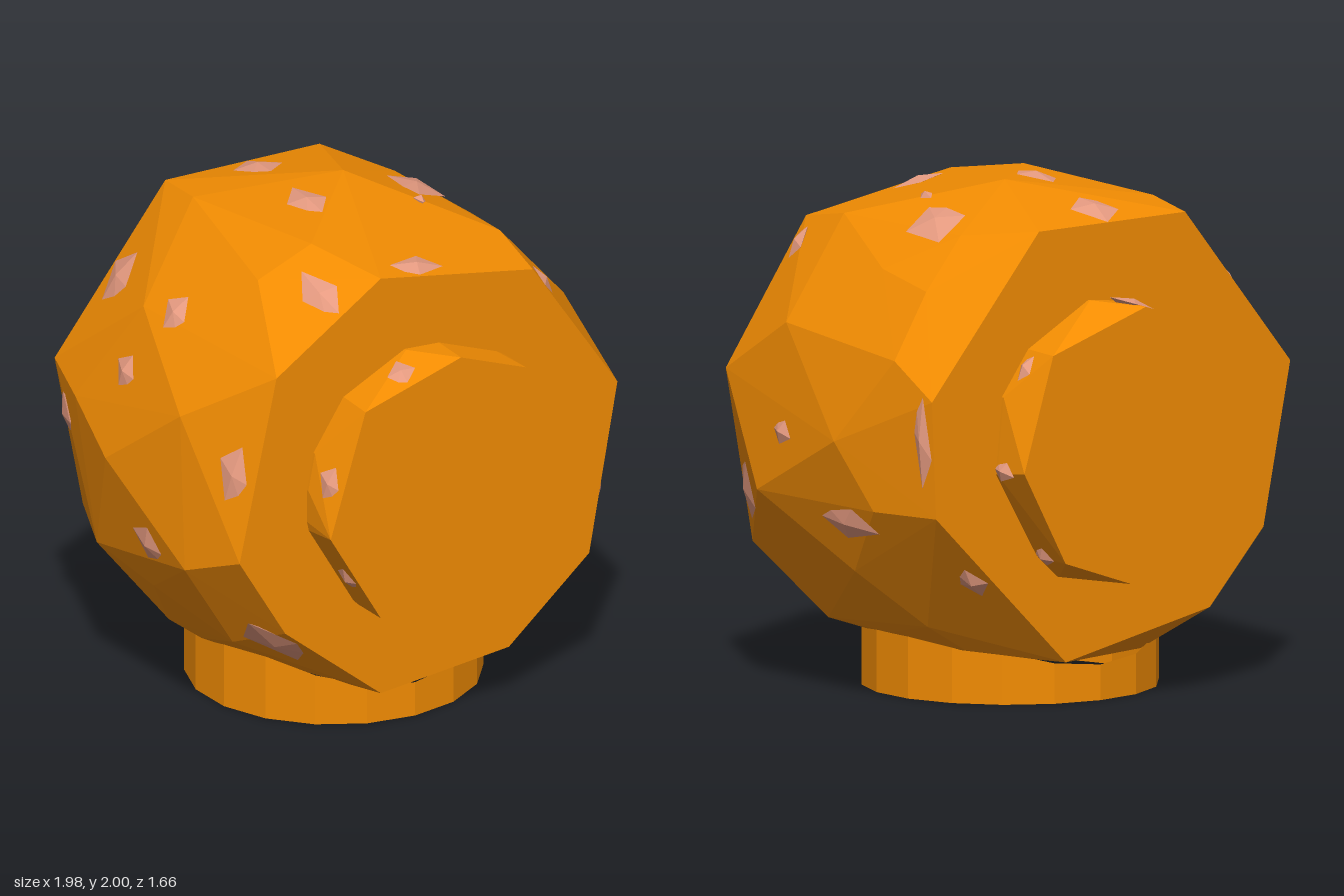
import * as THREE from 'three';
import { ConvexGeometry } from 'three/addons/geometries/ConvexGeometry.js';

const AXIS_Y = 1.04;
const orange = new THREE.MeshStandardMaterial({ color: 0xf28c02, flatShading: true });
const orangeThin = new THREE.MeshStandardMaterial({ color: 0xf28c02, flatShading: true, side: THREE.DoubleSide });
const pink = new THREE.MeshStandardMaterial({ color: 0xe59a80, flatShading: true });

// Faceted hull through rings of [x, y] corners; wobble shifts the inner rings along z
function facetedHull(name, rings) {
  const points = [];
  for (const { z, wobble = 0, corners } of rings) {
    corners.forEach(([x, y], i) => points.push(new THREE.Vector3(x, y, z + wobble * Math.sin(i * 2.3))));
  }
  const mesh = new THREE.Mesh(new ConvexGeometry(points), orange);
  mesh.name = name;
  return mesh;
}

// Flat irregular crystal set into a surface, found by a ray towards the z axis
function shard(target, name, angleDeg, z, width, length, turn = 0) {
  const a = THREE.MathUtils.degToRad(angleDeg);
  const out = new THREE.Vector3(Math.cos(a), Math.sin(a), 0);
  const origin = new THREE.Vector3(0, AXIS_Y, z).addScaledVector(out, 3);
  const hit = new THREE.Raycaster(origin, out.clone().negate()).intersectObject(target)[0];
  const w = width / 2, l = length / 2, t = 0.02;
  const geometry = new ConvexGeometry([
    [w, -l * 0.2, 0], [-w * 0.9, l * 0.25, 0], [w * 0.25, l, 0], [-w * 0.3, -l, 0],
    [w * 0.7, l * 0.6, 0], [w * 0.1, l * 0.1, t], [0, 0, -t * 2],
  ].map((p) => new THREE.Vector3(...p)));
  const mesh = new THREE.Mesh(geometry, pink);
  mesh.name = name;
  // local y runs along the model's z axis, local z points out of the facet
  const normal = hit.face.normal.clone();
  const along = new THREE.Vector3(0, 0, 1).addScaledVector(normal, -normal.z).normalize();
  const across = along.clone().cross(normal);
  mesh.quaternion.setFromRotationMatrix(new THREE.Matrix4().makeBasis(across, along, normal));
  mesh.rotateZ(turn);
  mesh.position.copy(hit.point);
  return mesh;
}

export function createModel() {
  const model = new THREE.Group();
  model.name = 'facetedDrum';

  // Bulging body with flat ends
  const body = facetedHull('body', [
    { z: 0.66, corners: [[-0.22, 1.91], [0.48, 1.79], [0.87, 1.23], [0.74, 0.54], [0.37, 0.23],
      [-0.22, 0.17], [-0.66, 0.52], [-0.87, 0.86], [-0.7, 1.6]] },
    { z: 0.32, wobble: 0.06, corners: [[-0.32, 1.96], [0.52, 1.84], [0.88, 1.46], [0.95, 0.8], [0.62, 0.27],
      [-0.35, 0.16], [-0.94, 0.75], [-0.91, 1.36], [-0.55, 1.85], [-0.72, 0.4]] },
    // low points that round off the underside
    { z: 0, corners: [[0.58, 0.25], [0.32, 0.155], [-0.3, 0.15], [-0.62, 0.26], [-0.84, 0.53]] },
    { z: -0.15, wobble: 0.04, corners: [[0.13, 2], [0.7, 1.7], [0.99, 1.06], [0.84, 0.53], [0.13, 0.13],
      [-0.65, 0.28], [-0.99, 1.06], [-0.78, 1.63]] },
    { z: -0.4, wobble: 0.06, corners: [[-0.4, 1.92], [0.5, 1.84], [0.9, 1.4], [0.93, 0.8], [0.5, 0.22],
      [-0.3, 0.16], [-0.88, 0.6], [-0.93, 1.2], [0.72, 1.65], [0.65, 0.32], [-0.58, 0.28]] },
    { z: -0.66, corners: [[0.35, 1.88], [-0.36, 1.89], [-0.87, 1.26], [-0.74, 0.62], [-0.48, 0.33],
      [0.22, 0.18], [0.85, 0.8], [0.87, 1.26]] },
  ]);

  // Smaller hub showing as a disc on both ends
  const hub = facetedHull('hub', [
    { z: 0.83, corners: [[0.04, 1.58], [0.34, 1.47], [0.54, 1.12], [0.57, 1], [0.48, 0.75],
      [0.3, 0.55], [0.03, 0.48], [-0.33, 0.57], [-0.56, 0.95], [-0.4, 1.45]] },
    { z: 0.67, corners: [[-0.11, 1.59], [-0.53, 1.25], [-0.56, 1.1], [-0.22, 0.52], [0.56, 1.1], [0.26, 0.52]] },
    { z: -0.67, corners: [[0.11, 1.59], [0.53, 1.25], [-0.56, 1.1], [-0.22, 0.52], [0.56, 0.95], [0.26, 0.52]] },
    { z: -0.83, corners: [[0.41, 1.42], [-0.04, 1.57], [-0.32, 1.48], [-0.55, 1.13], [-0.48, 0.74],
      [-0.26, 0.53], [0.03, 0.49], [0.35, 0.6], [0.55, 0.97]] },
  ]);
  model.add(body, hub);

  // Open foot ring, its top edge saddled to run up into the body at the sides
  const ringGeometry = new THREE.CylinderGeometry(0.58, 0.58, 0.15, 18, 1, true);
  const p = ringGeometry.attributes.position;
  for (let i = 0; i < p.count; i++) {
    p.setY(i, p.getY(i) > 0 ? 0.14 + 0.16 * (p.getX(i) / 0.58) ** 2 : 0);
  }
  ringGeometry.computeVertexNormals();
  const foot = new THREE.Mesh(ringGeometry, orangeThin);
  foot.name = 'footRing';
  foot.position.x = -0.01;
  model.add(foot);

  // Crystals on the body: angle around the axis, z, width, length, turn
  const bodyShards = [
    [139, -0.54, 0.24, 0.24], [91, -0.53, 0.2, 0.26], [97, -0.03, 0.15, 0.28], [60, -0.15, 0.24, 0.36, -0.4],
    [70, 0.1, 0.05, 0.08], [140, 0, 0.16, 0.14], [117, 0.52, 0.14, 0.26], [90, 0.58, 0.24, 0.14],
    [49, 0.59, 0.15, 0.12], [158, -0.15, 0.14, 0.14], [0, 0.2, 0.1, 0.13], [-19, 0.56, 0.26, 0.22],
    [-19, -0.19, 0.14, 0.34], [3, -0.61, 0.38, 0.08], [-40, -0.6, 0.16, 0.1], [178, -0.58, 0.2, 0.14],
    [169, 0.56, 0.24, 0.14], [222, 0.55, 0.36, 0.2], [196, 0.1, 0.16, 0.2],
  ];
  // Crystals on the hub rims
  const hubShards = [
    [110, 0.75, 0.12, 0.12], [167, 0.76, 0.14, 0.1], [215, 0.75, 0.12, 0.1],
    [95, -0.73, 0.22, 0.13], [35, -0.71, 0.12, 0.08], [-8, -0.71, 0.08, 0.12], [-50, -0.71, 0.09, 0.1], [165, -0.73, 0.14, 0.1],
  ];
  const shards = new THREE.Group();
  shards.name = 'crystals';
  for (const s of bodyShards) shards.add(shard(body, 'bodyCrystal', ...s));
  for (const s of hubShards) shards.add(shard(hub, 'hubCrystal', ...s));
  model.add(shards);
  return model;
}
